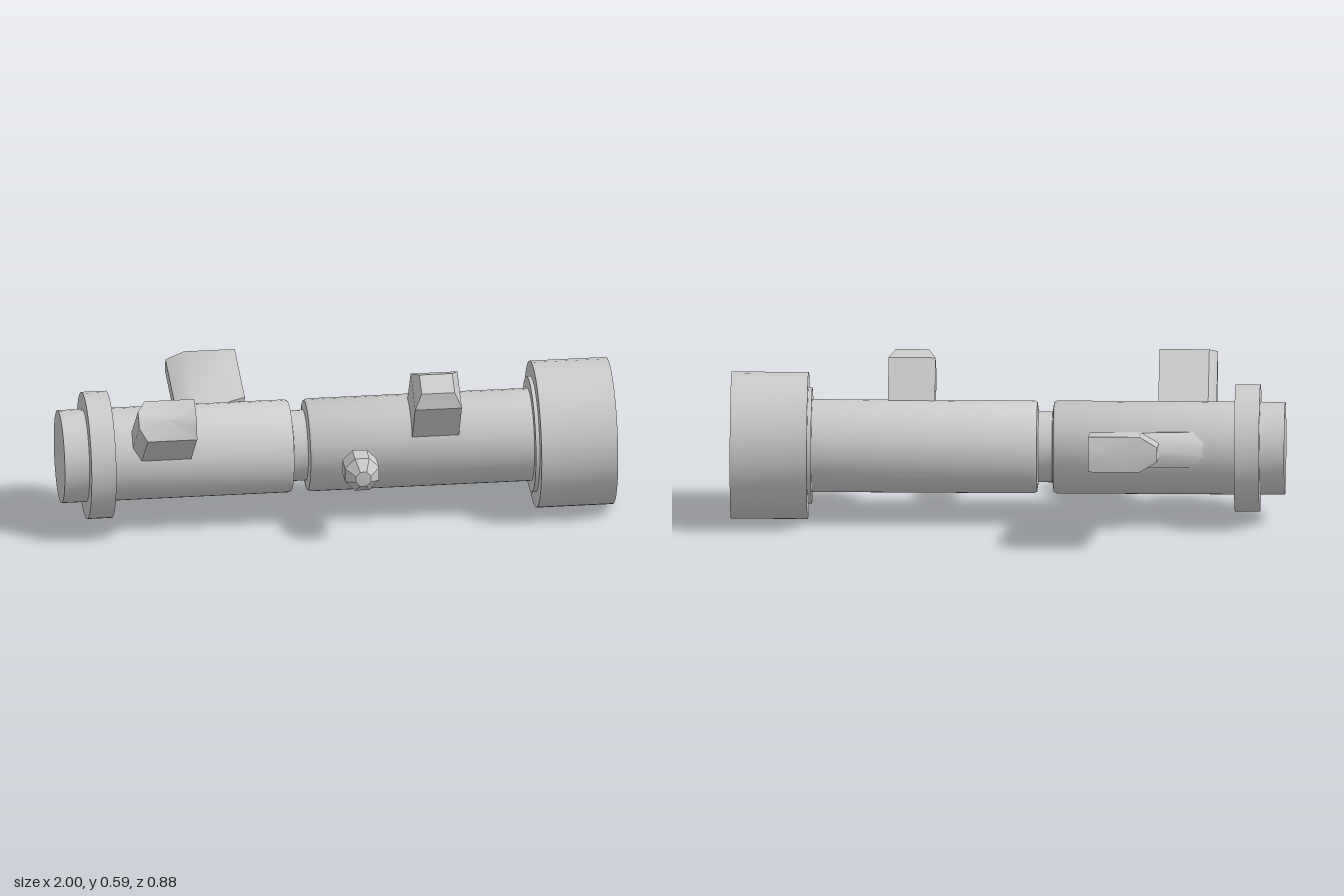
import * as THREE from 'three';
import { toCreasedNormals } from 'three/addons/utils/BufferGeometryUtils.js';

const material = new THREE.MeshStandardMaterial({ color: 0xcccccc });

function addMesh(parent, name, geometry, crease = 0.6) {
  const mesh = new THREE.Mesh(toCreasedNormals(geometry, crease), material);
  mesh.name = name;
  parent.add(mesh);
  return mesh;
}

// Loft through rings of [x, y, z] points, closed at both ends
function loft(rings) {
  const n = rings[0].length, last = rings.length - 1;
  const centre = ring => [0, 1, 2].map(k => ring.reduce((sum, p) => sum + p[k], 0) / n);
  const pos = [...rings.flat(), centre(rings[0]), centre(rings[last])];
  const index = [];
  const low = n * rings.length, high = low + 1;
  for (let i = 0; i < n; i++) {
    const j = (i + 1) % n;
    for (let r = 0; r < last; r++) {
      const a = r * n + i, b = r * n + j;
      index.push(a, b, b + n, a, b + n, a + n);
    }
    index.push(low, j, i, high, last * n + i, last * n + j);
  }
  const geometry = new THREE.BufferGeometry();
  geometry.setAttribute('position', new THREE.Float32BufferAttribute(pos.flat(), 3));
  geometry.setIndex(index);
  return geometry;
}

// Fin section: square on the +x side, bevelled on the -x side
function finSection(x0, xBevel, x1, half) {
  const flat = half * 0.4;
  return [
    [x1, half], [x1, half / 2], [x1, 0], [x1, -half / 2], [x1, -half], [xBevel, -half],
    [x0, -flat], [x0, 0], [x0, flat], [xBevel, half],
  ];
}

// Radial fin with a slightly domed tip; its root may lean along x
function fin(section, rootRadius, kneeRadius, tipRadius, lean, dome) {
  const ring = (radius, dx, bulge) => section.map(([x, z]) => [x + dx, radius - bulge * z * z, z]);
  return loft([ring(rootRadius, lean, 0), ring(kneeRadius, 0, 0), ring(tipRadius, 0, dome)]);
}

// Angle is measured from the front (+z) upwards
function placeRadially(mesh, degrees) {
  mesh.rotation.x = THREE.MathUtils.degToRad(90 - degrees);
}

export function createModel() {
  const model = new THREE.Group();
  model.name = 'tubeLauncher';
  const assembly = new THREE.Group();
  assembly.name = 'assembly';
  assembly.position.set(0, 0.266, 0.1);
  model.add(assembly);

  // Main tube with collar, waist, lip and end cap, as [radius, x]
  const profile = [
    [0, -1], [0.168, -1], [0.168, -0.91], [0.23, -0.91], [0.23, -0.82], [0.168, -0.82],
    [0.168, -0.175], [0.162, -0.165], [0.128, -0.16], [0.128, -0.11], [0.162, -0.105],
    [0.168, -0.095], [0.168, 0.708], [0.21, 0.708], [0.21, 0.722], [0.266, 0.722],
    [0.266, 1], [0.2, 0.995], [0.17, 0.98], [0, 0.98],
  ].map(([r, x]) => new THREE.Vector2(r, x));
  addMesh(assembly, 'tube', new THREE.LatheGeometry(profile, 36)).rotation.z = -Math.PI / 2;

  // Long grip at the back, its root leaning towards the collar
  const rearSection = finSection(-0.55, -0.485, -0.3, 0.064);
  placeRadially(addMesh(assembly, 'rearGrip', fin(rearSection, 0.15, 0.228, 0.549, -0.2, 3)), 168.5);

  // Short fin at the upper front
  const frontSection = finSection(-0.75, -0.72, -0.54, 0.077);
  placeRadially(addMesh(assembly, 'frontFin', fin(frontSection, 0.13, 0.2, 0.412, 0, 5)), 40);

  // Sight block with a chamfered top
  const block = [[0.13, 0.085, 0.085], [0.31, 0.085, 0.08], [0.355, 0.06, 0.042]].map(([y, hx, hz]) =>
    [[1, 1], [1, -1], [-1, -1], [-1, 1]].map(([sx, sz]) => [0.35 + sx * hx, y, sz * hz]));
  placeRadially(addMesh(assembly, 'sightBlock', loft(block)), 57);

  // Faceted knob on the front
  const knobProfile = [[0, 0.14], [0.03, 0.15], [0.067, 0.215], [0.067, 0.295], [0.03, 0.34], [0, 0.342]]
    .map(([r, y]) => new THREE.Vector2(r, y));
  const knob = addMesh(assembly, 'knob', new THREE.LatheGeometry(knobProfile, 8, Math.PI / 8), 0.3);
  knob.position.x = 0.065;
  placeRadially(knob, 0);

  return model;
}
